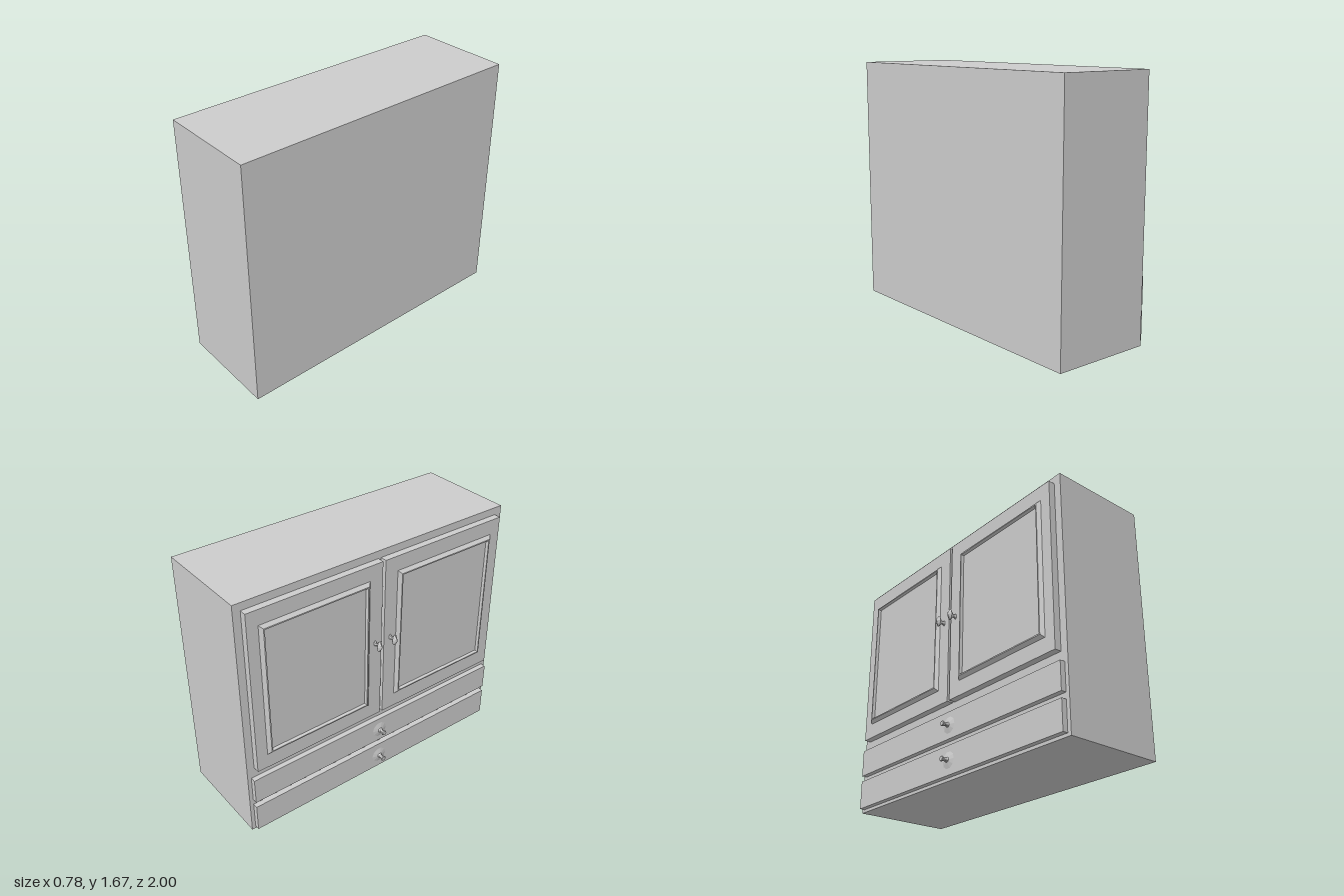
import * as THREE from 'three';

const material = new THREE.MeshStandardMaterial({ color: 0xcccccc, flatShading: true });

function add(parent, name, geometry, x = 0, y = 0, z = 0) {
  const mesh = new THREE.Mesh(geometry, material);
  mesh.name = name;
  mesh.position.set(x, y, z);
  parent.add(mesh);
  return mesh;
}

// box given by its limits on each axis
function slab(parent, name, [x0, x1], [y0, y1], [z0, z1]) {
  return add(parent, name, new THREE.BoxGeometry(x1 - x0, y1 - y0, z1 - z0),
    (x0 + x1) / 2, (y0 + y1) / 2, (z0 + z1) / 2);
}

// mitred rectangular moulding standing out towards -x;
// the section lists [inset from the outer edge, height]
function mouldingGeometry(width, height, section) {
  const loops = section.map(([inset, rise]) => {
    const w = width / 2 - inset, h = height / 2 - inset;
    return [[-w, -h], [w, -h], [w, h], [-w, h]].map(([z, y]) => [-rise, y, z]);
  });
  const positions = [];
  for (let s = 0; s < loops.length - 1; s++) {
    for (let i = 0; i < 4; i++) {
      const j = (i + 1) % 4;
      const [a, b, c, d] = [loops[s][i], loops[s][j], loops[s + 1][j], loops[s + 1][i]];
      positions.push(...a, ...b, ...c, ...a, ...c, ...d);
    }
  }
  const geometry = new THREE.BufferGeometry();
  geometry.setAttribute('position', new THREE.Float32BufferAttribute(positions, 3));
  geometry.computeVertexNormals();
  return geometry;
}

// turned knob pointing towards -x; profile is [radius, distance out]
function knobGeometry(profile, sides, zScale = 1) {
  const geometry = new THREE.LatheGeometry(profile.map(p => new THREE.Vector2(...p)), sides);
  geometry.rotateZ(Math.PI / 2);
  geometry.scale(1, 1, zScale);
  return geometry;
}

export function createModel() {
  const model = new THREE.Group();
  model.name = 'cabinet';

  slab(model, 'body', [-0.28, 0.39], [0, 1.67], [-1, 1]);

  // pair of doors with raised mouldings and pointed knobs
  const doorKnob = knobGeometry(
    [[0.02, 0], [0.012, 0.01], [0.012, 0.022], [0.04, 0.045], [0.015, 0.062], [0, 0.065]], 8, 0.5);
  const moulding = mouldingGeometry(0.77, 0.92,
    [[0, 0], [0.02, 0.02], [0.028, 0.02], [0.032, 0]]);
  for (const side of [-1, 1]) {
    const door = new THREE.Group();
    door.name = side < 0 ? 'backDoor' : 'frontDoor';
    model.add(door);
    const edges = [side * 0.01, side * 0.95].sort((a, b) => a - b);
    slab(door, 'doorPanel', [-0.325, -0.28], [0.5, 1.62], edges);
    add(door, 'doorMoulding', moulding, -0.325, 1.06, side * 0.49);
    add(door, 'doorKnob', doorKnob, -0.325, 1.065, side * 0.06);
  }

  // two full-width drawers with flared knobs
  const drawerKnob = knobGeometry(
    [[0.055, 0], [0.017, 0.01], [0.012, 0.02], [0.012, 0.035], [0.018, 0.05], [0.015, 0.055], [0, 0.055]], 10);
  for (const [bottom, top, name] of [[0.02, 0.21, 'lowerDrawer'], [0.25, 0.43, 'upperDrawer']]) {
    const drawer = new THREE.Group();
    drawer.name = name;
    model.add(drawer);
    slab(drawer, 'drawerFront', [-0.315, -0.28], [bottom, top], [-0.975, 0.975]);
    add(drawer, 'drawerKnob', drawerKnob, -0.315, (bottom + top) / 2, 0);
  }

  return model;
}
